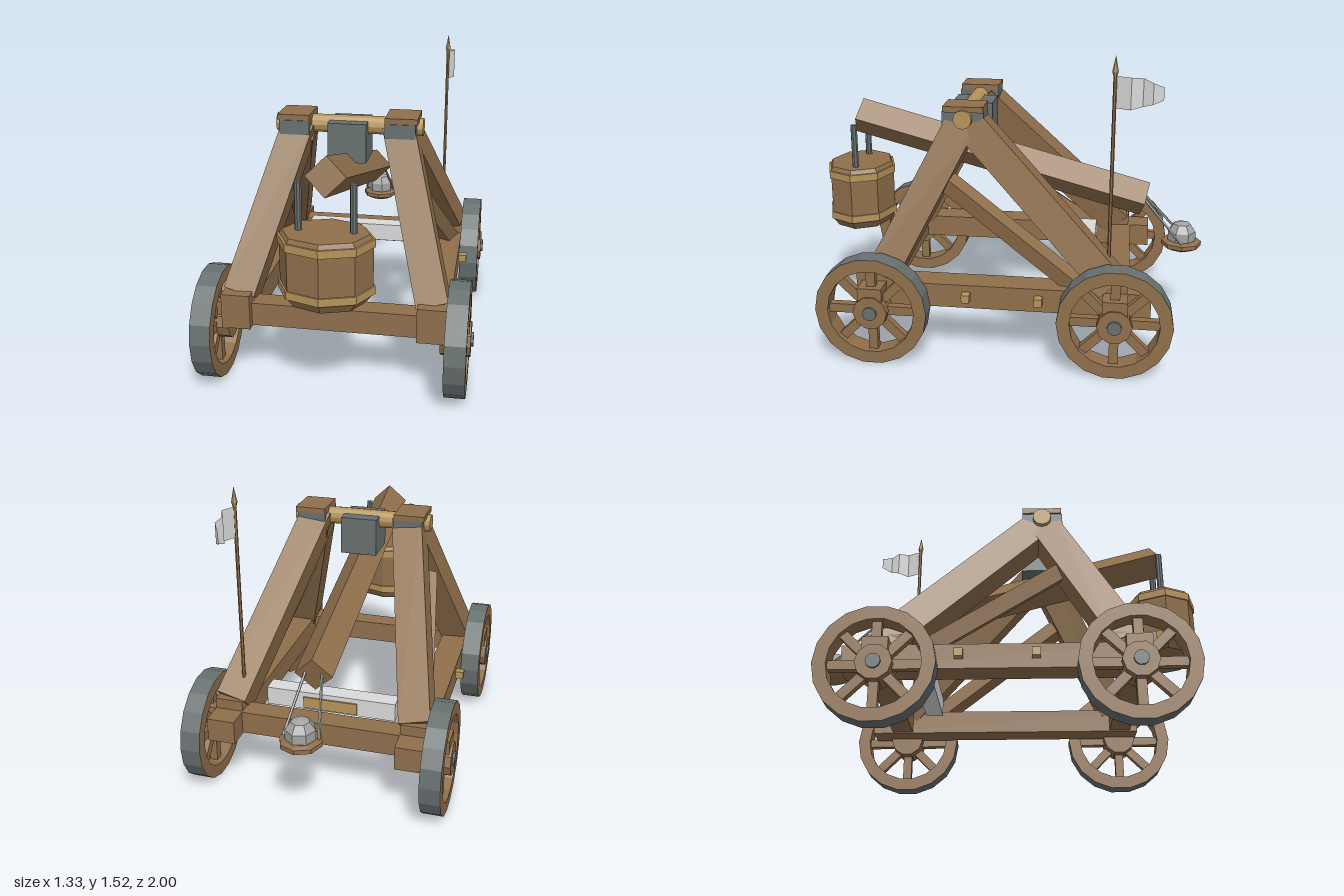
import * as THREE from 'three';

const mat = (name, color, side = THREE.FrontSide) => {
  const m = new THREE.MeshStandardMaterial({ color, flatShading: true, side });
  m.name = name;
  return m;
};

export function createModel() {
  const wood = mat('wood', 0x8f6f4c);
  const brass = mat('paleWood', 0xb5945a);
  const iron = mat('iron', 0x687070);
  const stone = mat('stone', 0xa3a3a3);
  const cloth = mat('cloth', 0xdadada, THREE.DoubleSide);
  const root = new THREE.Group();
  root.name = 'trebuchet';

  const add = (name, geo, material, parent = root) => {
    const m = new THREE.Mesh(geo, material);
    m.name = name;
    parent.add(m);
    return m;
  };
  // box given by its min and max on each axis
  const box = (name, [x0, x1], [y0, y1], [z0, z1], material, parent) => {
    const m = add(name, new THREE.BoxGeometry(x1 - x0, y1 - y0, z1 - z0), material, parent);
    m.position.set((x0 + x1) / 2, (y0 + y1) / 2, (z0 + z1) / 2);
    return m;
  };
  // lay a y-aligned geometry between two points
  const span = (name, a, b, makeGeo, material, parent) => {
    const p = new THREE.Vector3(...a), q = new THREE.Vector3(...b);
    const m = add(name, makeGeo(p.distanceTo(q)), material, parent);
    m.position.copy(p).add(q).multiplyScalar(0.5);
    m.quaternion.setFromUnitVectors(new THREE.Vector3(0, 1, 0), q.sub(p).normalize());
    return m;
  };
  const beam = w => l => new THREE.BoxGeometry(w, l, w);
  const rod = (r, n = 8) => l => new THREE.CylinderGeometry(r, r, l, n);
  const lathe = (pts, n) => new THREE.LatheGeometry(pts.map(p => new THREE.Vector2(...p)), n);

  // spoked wheel, its axle along x
  const wheel = (s, z) => {
    const g = new THREE.Group();
    g.name = 'wheel';
    g.position.set(s * 0.59, 0.28, z);
    root.add(g);
    const R = 0.278, r = 0.215, h = 0.05;
    const rim = add('rim', lathe([[R, h], [r, h], [r, -h], [R, -h]], 18), wood, g);
    const tread = add('tread', new THREE.CylinderGeometry(R, R, 2 * h, 18, 1, true), iron, g);
    rim.rotation.z = tread.rotation.z = Math.PI / 2;
    for (let i = 0; i < 8; i++) {
      const a = i * Math.PI / 4;
      const spoke = add('spoke', new THREE.BoxGeometry(0.04, 0.16, 0.045), wood, g);
      spoke.position.set(0, Math.cos(a) * 0.145, Math.sin(a) * 0.145);
      spoke.rotation.x = a;
    }
    span('hub', [-s * 0.08, 0, 0], [s * 0.062, 0, 0], rod(0.085, 10), wood, g);
    span('hubCap', [s * 0.05, 0, 0], [s * 0.073, 0, 0], rod(0.035, 10), iron, g);
    box('hubBlock', [-0.05, 0.053], [0.05, 0.125], [-0.06, 0.06], wood, g);
  };

  for (const s of [-1, 1]) {
    const bx = (name, x0, x1, y, z, m) =>
      box(name, s > 0 ? [x0, x1] : [-x1, -x0], y, z, m);
    wheel(s, 0.62);
    wheel(s, -0.565);

    // chassis rail, leg feet and pegs
    bx('sideRail', 0.4, 0.54, [0.285, 0.405], [-0.735, 0.71], wood);
    bx('frontFoot', 0.4, 0.54, [0.4, 0.458], [0.52, 0.71], wood);
    bx('rearFoot', 0.4, 0.54, [0.4, 0.458], [-0.62, -0.42], wood);
    for (const z of [0.16, -0.195]) bx('peg', 0.53, 0.583, [0.33, 0.37], [z - 0.02, z + 0.02], brass);

    // A-frame
    const top = [s * 0.25, 1.18, 0.2];
    span('frontLeg', [s * 0.47, 0.42, 0.59], top, beam(0.155), wood);
    span('rearLeg', [s * 0.47, 0.42, -0.55], top, beam(0.155), wood);
    span('brace', [s * 0.345, 0.87, 0.28], [s * 0.47, 0.38, -0.41], beam(0.08), wood);
    bx('bearing', 0.185, 0.335, [1.152, 1.222], [0.1, 0.305], iron);
    bx('bearingCap', 0.185, 0.345, [1.222, 1.25], [0.1, 0.3], wood);

    // hanger rods and sling ropes
    span('hangerRod', [s * 0.125, 0.8, 0.815], [s * 0.125, 1.085, 0.815], rod(0.017), iron);
    span('slingRope', [s * 0.04, 0.72, -0.69], [s * 0.085, 0.49, -0.895], rod(0.007, 5), stone);
  }

  // wheel axles and cross beams
  for (const z of [0.615, -0.575])
    box('crossBeam', [-0.41, 0.41], [0.29, 0.405], [z - 0.055, z + 0.055], wood);

  // sling trough behind
  box('trough', [-0.335, 0.335], [0.36, 0.455], [-0.44, -0.35], cloth);
  box('troughStrip', [-0.14, 0.14], [0.37, 0.43], [-0.449, -0.44], brass);

  // pivot and throwing arm
  span('pivotAxle', [-0.365, 1.19, 0.2], [0.365, 1.19, 0.2], rod(0.046, 12), brass);
  box('armSaddle', [-0.095, 0.095], [1.02, 1.215], [0.092, 0.3], iron);
  span('throwingArm', [0, 0.706, -0.695], [0, 1.11, 0.815], rod(0.093, 4), wood);

  // counterweight tub, wider across than deep
  const tub = new THREE.Group();
  tub.name = 'counterweight';
  tub.position.z = 0.82;
  tub.scale.z = 0.81;
  root.add(tub);
  add('tub', lathe([[0, 0.53], [0.18, 0.53], [0.215, 0.575], [0.215, 0.835], [0.2, 0.86], [0, 0.86]], 8), wood, tub);
  for (const y of [0.595, 0.82])
    add('tubBand', new THREE.CylinderGeometry(0.224, 0.224, 0.038, 8), brass, tub).position.y = y;

  // projectile in its cup
  const cup = add('slingCup', lathe([[0, 0.435], [0.06, 0.438], [0.103, 0.46], [0.103, 0.482], [0.085, 0.49], [0, 0.49]], 8), wood);
  cup.position.z = -0.896;
  add('projectile', new THREE.SphereGeometry(0.077, 7, 5), stone).position.set(0, 0.515, -0.896);

  // flag
  span('flagPole', [0.422, 0.4, -0.525], [0.422, 1.46, -0.525], rod(0.009, 6), wood);
  add('finial', lathe([[0, 1.435], [0.009, 1.435], [0.015, 1.455], [0, 1.53]], 6), brass).position.set(0.422, 0, -0.525);
  // columns of the waving cloth: x, z, bottom, top
  const cols = [[0.422, -0.53, 1.285, 1.435], [0.455, -0.6, 1.285, 1.435],
    [0.425, -0.655, 1.295, 1.428], [0.445, -0.7, 1.31, 1.41], [0.41, -0.75, 1.325, 1.385]];
  const pos = [], idx = [];
  cols.forEach(([x, z, y0, y1], i) => {
    pos.push(x, y0, z, x, y1, z);
    if (i) idx.push(2 * i - 2, 2 * i, 2 * i - 1, 2 * i, 2 * i + 1, 2 * i - 1);
  });
  const flag = new THREE.BufferGeometry();
  flag.setAttribute('position', new THREE.Float32BufferAttribute(pos, 3));
  flag.setIndex(idx);
  flag.computeVertexNormals();
  add('flag', flag, cloth);

  return root;
}
